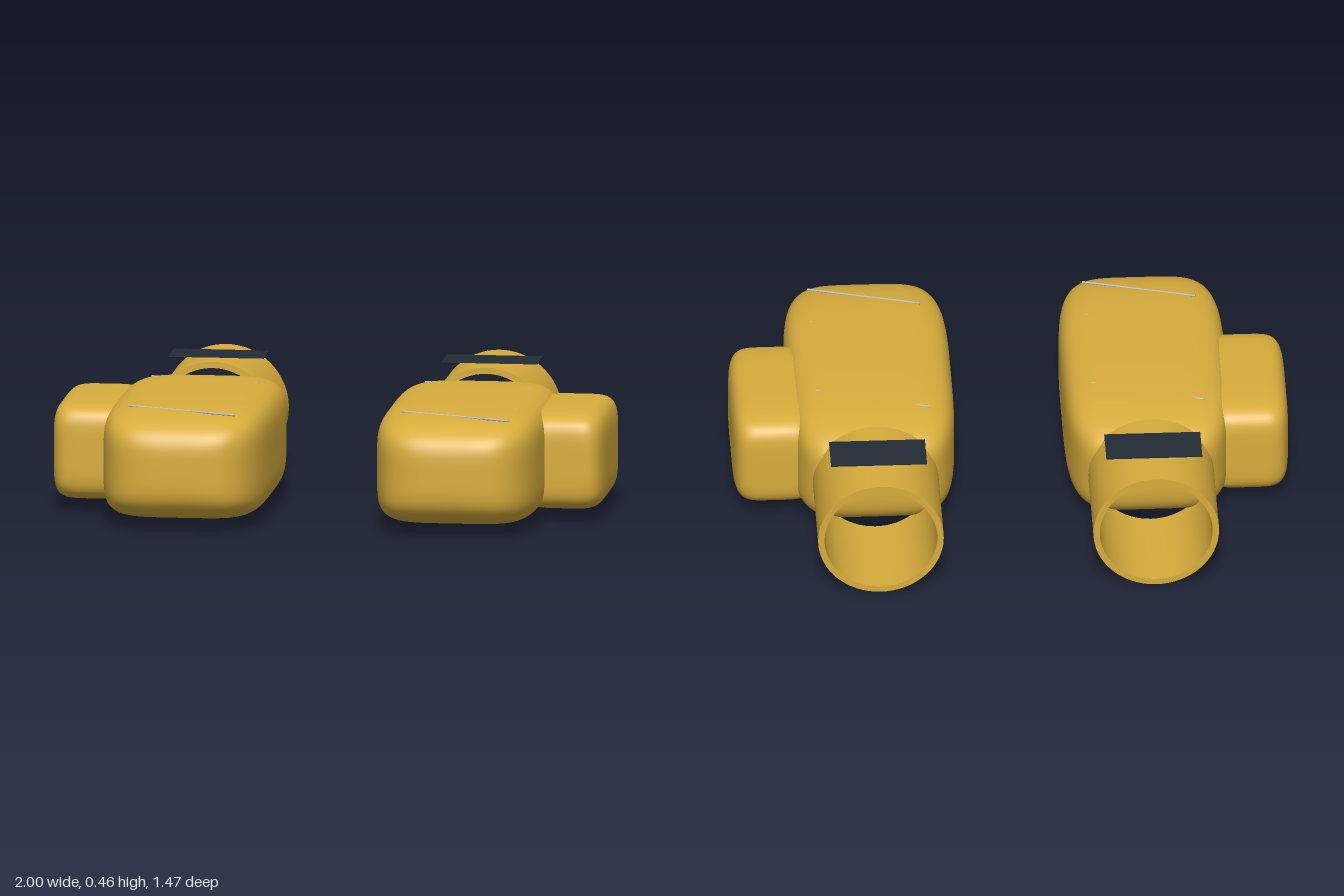
import * as THREE from 'three';
import { mergeVertices } from 'three/addons/utils/BufferGeometryUtils.js';

const yellow = new THREE.MeshStandardMaterial({ color: 0xd8ad3c });
yellow.name = 'yellow padding';
const navy = new THREE.MeshStandardMaterial({ color: 0x222c36 });
navy.name = 'dark strap';
const silver = new THREE.MeshStandardMaterial({ color: 0xb4b8c0 });
silver.name = 'silver stitching';

// Soft cushion: a cube projected onto a superellipsoid (nXY rounds x/y corners, nZ the ends)
function cushion(hx, hy, hz, nXY, nZ) {
  let geo = new THREE.BoxGeometry(2, 2, 2, 28, 28, 28);
  geo.deleteAttribute('uv');
  geo.deleteAttribute('normal');
  geo = mergeVertices(geo, 1e-4);
  const p = geo.attributes.position;
  for (let i = 0; i < p.count; i++) {
    const x = p.getX(i), y = p.getY(i), z = p.getZ(i);
    const xy = Math.pow(Math.abs(x) ** nXY + Math.abs(y) ** nXY, nZ / nXY);
    const r = Math.pow(xy + Math.abs(z) ** nZ, 1 / nZ);
    p.setXYZ(i, (x / r) * hx, (y / r) * hy, (z / r) * hz);
  }
  geo.computeVertexNormals();
  return geo;
}

// Thin rod between two points
function rod(a, b, radius) {
  const curve = new THREE.LineCurve3(new THREE.Vector3(...a), new THREE.Vector3(...b));
  const geo = new THREE.CylinderGeometry(radius, radius, curve.getLength(), 8);
  const mesh = new THREE.Mesh(geo, silver);
  mesh.position.copy(curve.getPoint(0.5));
  mesh.quaternion.setFromUnitVectors(new THREE.Vector3(0, 1, 0), curve.getTangent(0));
  return mesh;
}

// Open, hollow cuff along z; each wall is its own surface so the rims stay sharp
function buildCuff() {
  const cuff = new THREE.Group();
  cuff.name = 'cuff';
  const outer = 0.226, inner = 0.203, front = -0.35, back = -0.74;
  const walls = [
    ['cuffOuterWall', [outer, back], [outer, front]],
    ['cuffInnerWall', [inner, front], [inner, back]],
    ['cuffBackRim', [inner, back], [outer, back]],
    ['cuffFrontRim', [outer, front], [inner, front]],
  ];
  for (const [name, a, b] of walls) {
    const geo = new THREE.LatheGeometry([new THREE.Vector2(...a), new THREE.Vector2(...b)], 64);
    geo.rotateX(Math.PI / 2);
    const wall = new THREE.Mesh(geo, yellow);
    wall.name = name;
    cuff.add(wall);
  }
  cuff.position.y = 0.226;
  return cuff;
}

// One glove centred on x = 0; side is the direction of the thumb
function buildGlove(side) {
  const glove = new THREE.Group();

  const palm = new THREE.Mesh(cushion(0.298, 0.2065, 0.572, 5, 4), yellow);
  palm.name = 'fist';
  palm.position.set(0, 0.2285, 0.158);
  glove.add(palm);

  const thumb = new THREE.Mesh(cushion(0.15, 0.18, 0.293, 5, 5.5), yellow);
  thumb.name = 'thumb';
  thumb.position.set(side * 0.355, 0.221, 0.037);
  glove.add(thumb);

  glove.add(buildCuff());

  // Flat strap panel resting on the cuff
  const strap = new THREE.Mesh(new THREE.BoxGeometry(0.345, 0.004, 0.157), navy);
  strap.name = 'strap';
  strap.position.set(0, 0.453, -0.522);
  glove.add(strap);

  // Slanted stitches, mostly sunk in the padding
  const stitches = new THREE.Group();
  stitches.name = 'stitches';
  for (const [z, y0, y1] of [[-0.185, 0.423, 0.426], [0.26, 0.424, 0.425], [0.48, 0.427, 0.42]]) {
    const stitch = rod([-0.2, y0, z], [0.2, y1, z + 0.12], 0.004);
    stitch.name = 'stitch';
    stitches.add(stitch);
  }
  glove.add(stitches);
  return glove;
}

export function createModel() {
  const model = new THREE.Group();
  model.name = 'glovePair';
  for (const side of [-1, 1]) {
    const glove = buildGlove(side);
    glove.name = side < 0 ? 'rightGlove' : 'leftGlove';
    glove.position.x = side * 0.495;
    model.add(glove);
  }
  return model;
}
